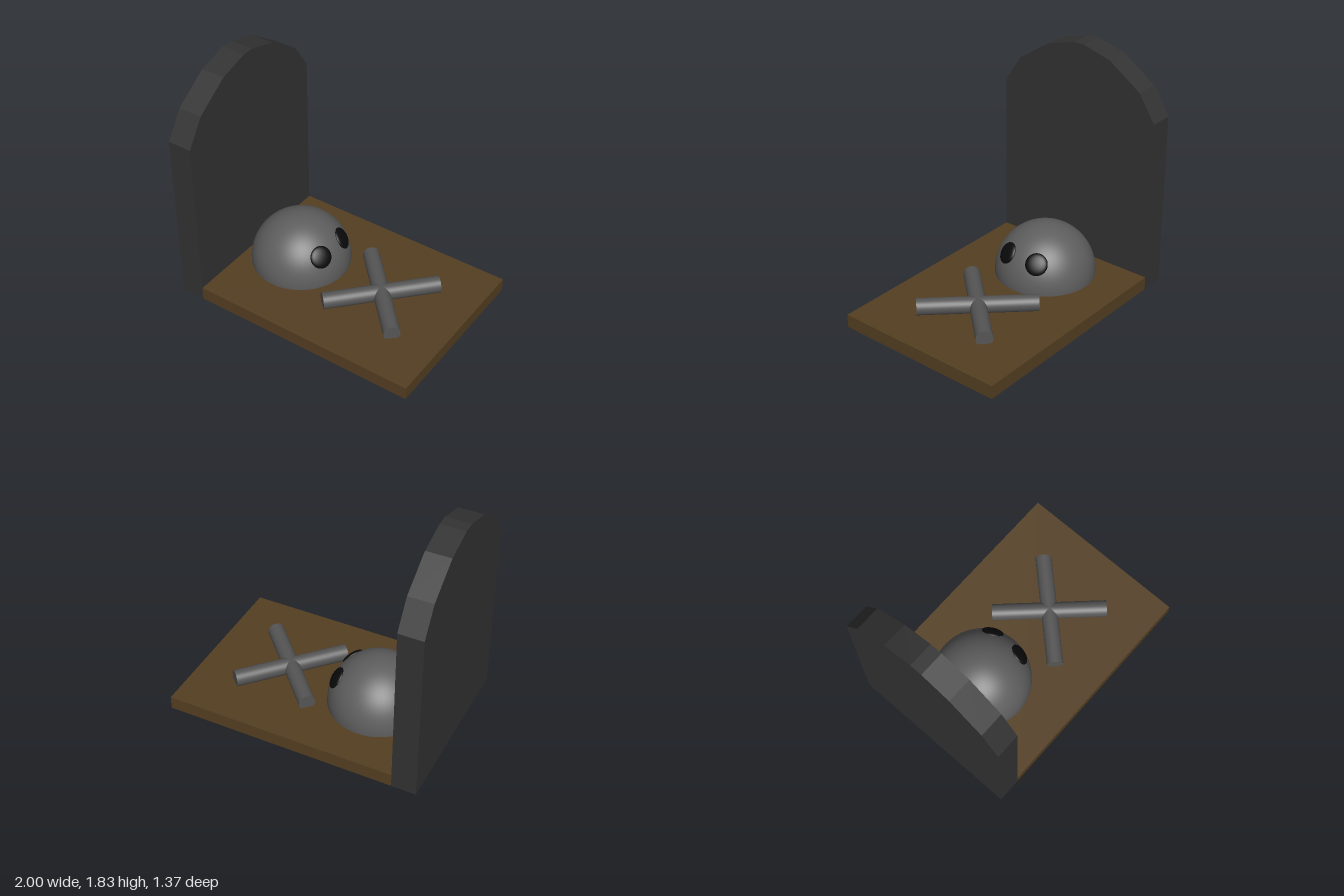
import * as THREE from 'three';

const mat = (color, flatShading = false) => new THREE.MeshStandardMaterial({ color, flatShading });

export function createModel() {
  const model = new THREE.Group();
  const add = (name, geometry, material) => {
    const mesh = new THREE.Mesh(geometry, material);
    mesh.name = name;
    model.add(mesh);
    return mesh;
  };

  // Wooden ground slab
  add('base', new THREE.BoxGeometry(1.81, 0.105, 1.37), mat(0x553f22))
    .position.set(0.095, 0.0525, 0);

  // Upright slab with a faceted arched top
  const half = [[0.685, 0], [0.685, 1.377], [0.549, 1.585], [0.281, 1.766], [0.047, 1.832]];
  const outline = [...half, ...half.map(([z, y]) => [-z, y]).reverse()];
  const shape = new THREE.Shape(outline.map(([z, y]) => new THREE.Vector2(z, y)));
  const slab = new THREE.ExtrudeGeometry(shape, { depth: 0.19, bevelEnabled: false });
  slab.rotateY(Math.PI / 2);
  add('headstone', slab, mat(0x333333, true)).position.x = -1;

  // Skull dome, cut off at the ground slab
  const centre = new THREE.Vector3(-0.41, 0.125, -0.031);
  const radius = 0.385;
  add('skull', new THREE.SphereGeometry(radius, 48, 24, 0, Math.PI * 2, 0, Math.PI / 2 + 0.08), mat(0x5e5e5e))
    .position.copy(centre);

  // Eye sockets: flattened dark discs lying on the dome
  for (const side of [1, -1]) {
    const normal = new THREE.Vector3(0.285, 0.21, side * 0.137).normalize();
    const eye = add(side > 0 ? 'eyeFront' : 'eyeBack', new THREE.SphereGeometry(0.085, 32, 16), mat(0x0a0a0a));
    eye.scale.z = 0.32;
    eye.position.copy(centre).addScaledVector(normal, radius - 0.008);
    eye.quaternion.setFromUnitVectors(new THREE.Vector3(0, 0, 1), normal);
  }

  // Crossed bones, sunk slightly into the slab
  for (const side of [1, -1]) {
    const bone = add(side > 0 ? 'boneA' : 'boneB', new THREE.CylinderGeometry(0.064, 0.064, 0.893, 32), mat(0x555555));
    bone.position.set(0.345, 0.147, 0);
    const along = new THREE.Vector3(0.611, 0, side * 0.648).normalize();
    bone.quaternion.setFromUnitVectors(new THREE.Vector3(0, 1, 0), along);
  }
  return model;
}
